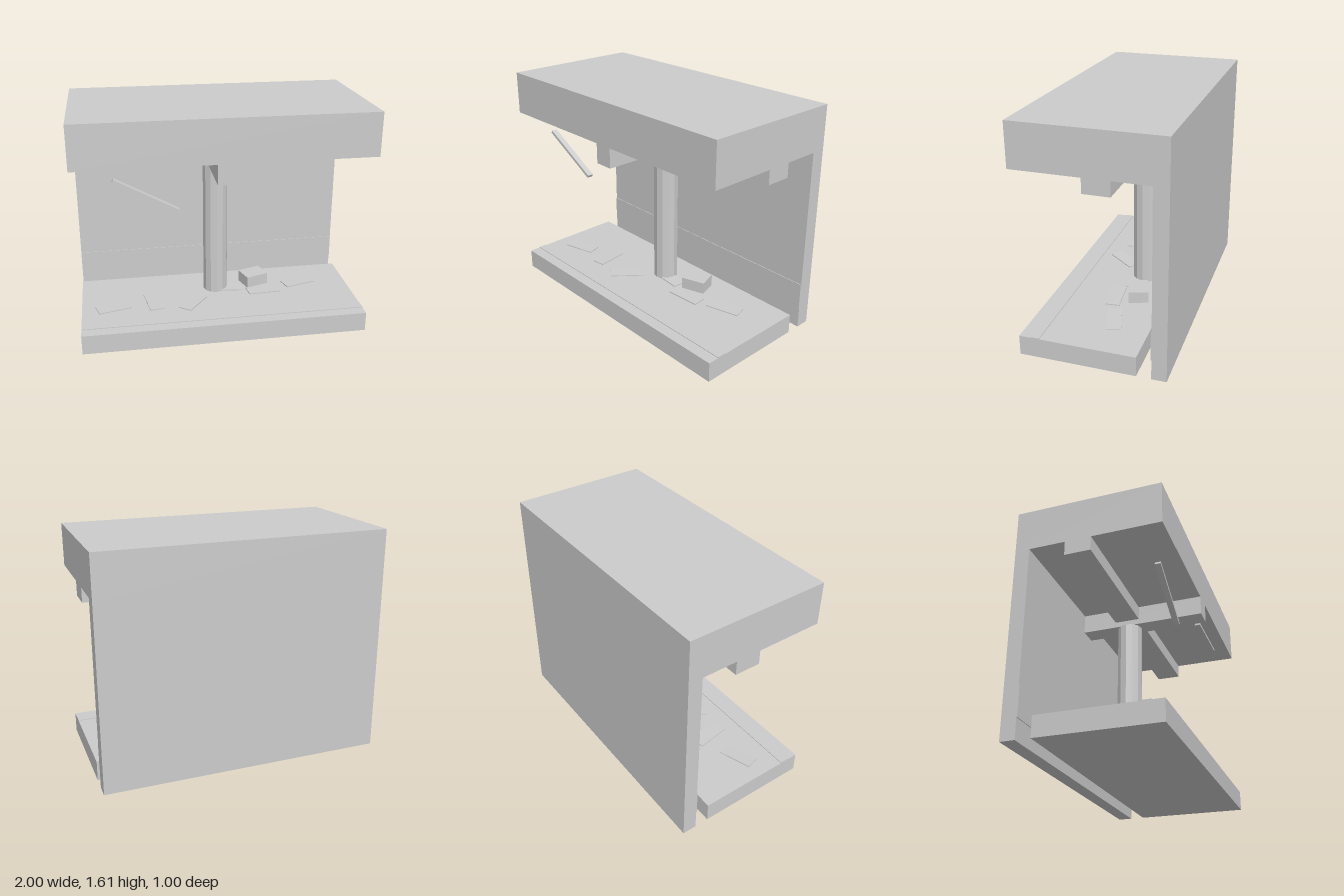
import * as THREE from 'three';

export function createModel() {
  const root = new THREE.Group();
  const concrete = new THREE.MeshStandardMaterial({ color: 0xcccccc });
  concrete.name = 'concreteGrey';

  const add = (name, geometry, x, y, z) => {
    const mesh = new THREE.Mesh(geometry, concrete);
    mesh.name = name;
    mesh.position.set(x, y, z);
    root.add(mesh);
    return mesh;
  };
  // Box given by its [min, max] range on each axis
  const block = (name, [x0, x1], [y0, y1], [z0, z1]) =>
    add(name, new THREE.BoxGeometry(x1 - x0, y1 - y0, z1 - z0),
      (x0 + x1) / 2, (y0 + y1) / 2, (z0 + z1) / 2);

  // Shell: platform, rear wall and roof
  block('platform', [-1, 1], [0, 0.14], [-0.3, 0.5]);
  block('platformEdgeStrip', [-1, 1], [0.138, 0.145], [0.36, 0.42]);
  block('rearWall', [-1, 1], [0, 1.305], [-0.5, -0.4]);
  block('wallBand', [-1, 1], [0.14, 0.34], [-0.402, -0.395]);
  block('roof', [-1, 1], [1.305, 1.605], [-0.5, 0.5]);

  // Crossing ceiling beams
  block('longBeam', [-1, 1], [1.205, 1.305], [-0.15, 0.03]);
  block('crossBeam', [-0.07, 0.065], [1.165, 1.305], [-0.4, 0.5]);

  // Twelve-sided column
  const columnGeometry = new THREE.CylinderGeometry(0.089, 0.089, 1.025, 12).toNonIndexed();
  columnGeometry.computeVertexNormals();
  add('column', columnGeometry, -0.002, 0.6525, -0.06);

  // Ceiling lamps, one hanging loose
  const lampGeometry = new THREE.BoxGeometry(0.48, 0.021, 0.04);
  add('ceilingLamp', lampGeometry, 0.52, 1.283, 0.385);
  add('fallenLamp', lampGeometry, -0.523, 1.083, 0.385).rotation.z = -0.5;

  // Crate on the platform
  add('crate', new THREE.BoxGeometry(0.174, 0.085, 0.141), 0.2975, 0.1825, -0.095).rotation.y = 0.32;

  // Scattered thin slabs: x, z, turn, tilt
  const slabGeometry = new THREE.BoxGeometry(0.24, 0.007, 0.1);
  const slabs = [
    [-0.774, 0.156, 0.3, -0.03],
    [-0.483, 0.115, -1.42, 0.02],
    [-0.2, 0.163, 0.93, -0.03],
    [0.075, -0.025, -0.05, -0.03],
    [0.345, 0.056, 0.1, -0.03],
    [0.635, -0.03, 0.3, -0.03],
  ];
  for (const [x, z, turn, tilt] of slabs) {
    add('debrisSlab', slabGeometry, x, 0.147, z).rotation.set(0, turn, tilt);
  }
  return root;
}
